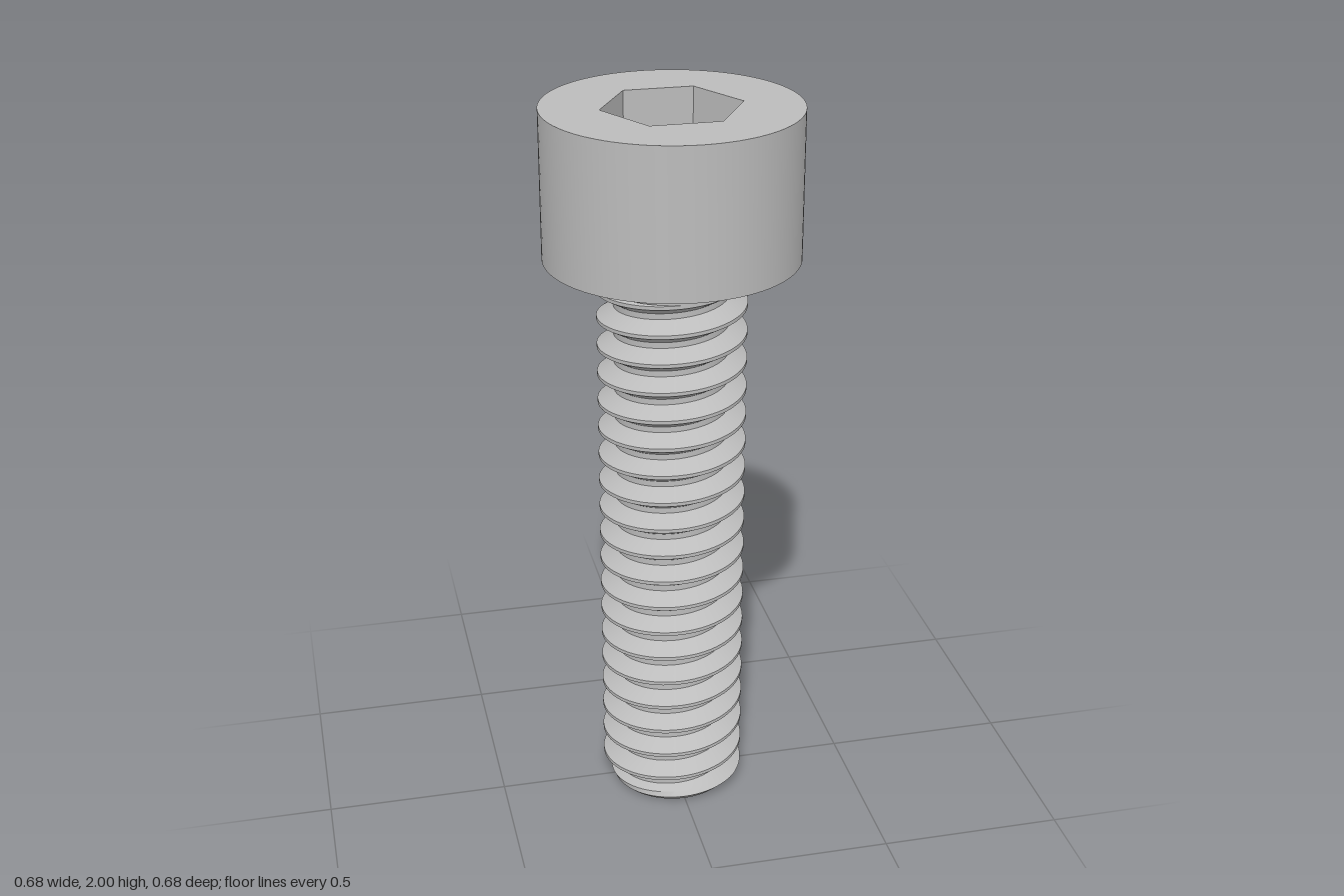
import * as THREE from 'three';
import { toCreasedNormals } from 'three/addons/utils/BufferGeometryUtils.js';

const HEAD_R = 0.339, HEAD_BOTTOM = 1.6, TOP = 2;
const SHANK_R = 0.2, THREAD_TOP = 1.54;
const PITCH = 0.08, DEPTH = 0.045, CREST = 0.005, FLANK = 0.027, START = 0.036;
const HEX_R = 0.186, HEX_DEPTH = 0.2;

const steel = new THREE.MeshStandardMaterial({ color: 0xbcbcbc, side: THREE.DoubleSide });
steel.name = 'steel grey';

function part(name, geometry) {
  const mesh = new THREE.Mesh(geometry, steel);
  mesh.name = name;
  return mesh;
}

// Radius of the right-handed thread, with a chamfer at the tip
function threadRadius(angle, y) {
  const turns = (y - START) / PITCH - angle / (2 * Math.PI);
  const d = Math.abs(turns - Math.round(turns)) * PITCH;
  const r = SHANK_R - DEPTH * THREE.MathUtils.clamp((d - CREST) / FLANK, 0, 1);
  return Math.min(r, 0.168 + y);
}

// Helical rows follow the crest, flank and root edges, trimmed at both ends
function threadGeometry() {
  const segments = 72, positions = [], rows = [];
  const edge = CREST + FLANK, mid = CREST + FLANK / 2;
  for (let turn = -2; turn <= THREAD_TOP / PITCH + 1; turn++) {
    for (const offset of [-edge, -mid, -CREST, CREST, mid, edge]) {
      rows.push(START + turn * PITCH + offset);
    }
  }
  const point = (i, rowY) => {
    const angle = (i / segments) * 2 * Math.PI;
    const y = THREE.MathUtils.clamp(rowY + PITCH * i / segments, 0, THREAD_TOP);
    const r = threadRadius(angle, y);
    return [r * Math.cos(angle), y, -r * Math.sin(angle)];
  };
  const triangle = (a, b, c) => {
    if (a[1] === b[1] && b[1] === c[1]) return;
    positions.push(...a, ...b, ...c);
  };
  for (let j = 0; j < rows.length - 1; j++) {
    for (let i = 0; i < segments; i++) {
      const a = point(i, rows[j]), b = point(i + 1, rows[j]);
      const c = point(i + 1, rows[j + 1]), d = point(i, rows[j + 1]);
      triangle(a, b, c);
      triangle(a, c, d);
    }
  }
  // Flat end of the tip
  for (let i = 0; i < segments; i++) {
    positions.push(0, 0, 0, ...point(i + 1, -1), ...point(i, -1));
  }
  const geometry = new THREE.BufferGeometry();
  geometry.setAttribute('position', new THREE.Float32BufferAttribute(positions, 3));
  return toCreasedNormals(geometry, 0.45);
}

function lathe(points) {
  const profile = points.map(([r, y]) => new THREE.Vector2(r, y));
  return toCreasedNormals(new THREE.LatheGeometry(profile, 96), 0.5);
}

function hexPoints() {
  return Array.from({ length: 6 }, (_, k) => new THREE.Vector2(
    HEX_R * Math.cos(k * Math.PI / 3), HEX_R * Math.sin(k * Math.PI / 3)));
}

export function createModel() {
  const group = new THREE.Group();
  group.name = 'socketHeadBolt';

  group.add(part('threadedShank', threadGeometry()));
  group.add(part('neck', lathe([[0.13, THREAD_TOP], [SHANK_R, THREAD_TOP], [SHANK_R, HEAD_BOTTOM]])));
  group.add(part('head', lathe([[SHANK_R, HEAD_BOTTOM], [HEAD_R, HEAD_BOTTOM], [HEAD_R, TOP]])));

  // Top face with the hexagonal opening
  const face = new THREE.Shape().absarc(0, 0, HEAD_R, 0, 2 * Math.PI);
  face.holes.push(new THREE.Path(hexPoints()));
  const topFace = part('headTop', new THREE.ShapeGeometry(face, 48).rotateX(-Math.PI / 2));
  topFace.position.y = TOP;
  group.add(topFace);

  // Socket walls and floor
  const wallGeometry = new THREE.CylinderGeometry(HEX_R, HEX_R, HEX_DEPTH, 6, 1, true)
    .rotateY(Math.PI / 6).toNonIndexed();
  wallGeometry.computeVertexNormals();
  const walls = part('socketWalls', wallGeometry);
  walls.position.y = TOP - HEX_DEPTH / 2;
  group.add(walls);

  const floor = part('socketFloor', new THREE.ShapeGeometry(new THREE.Shape(hexPoints())).rotateX(-Math.PI / 2));
  floor.position.y = TOP - HEX_DEPTH;
  group.add(floor);

  return group;
}
